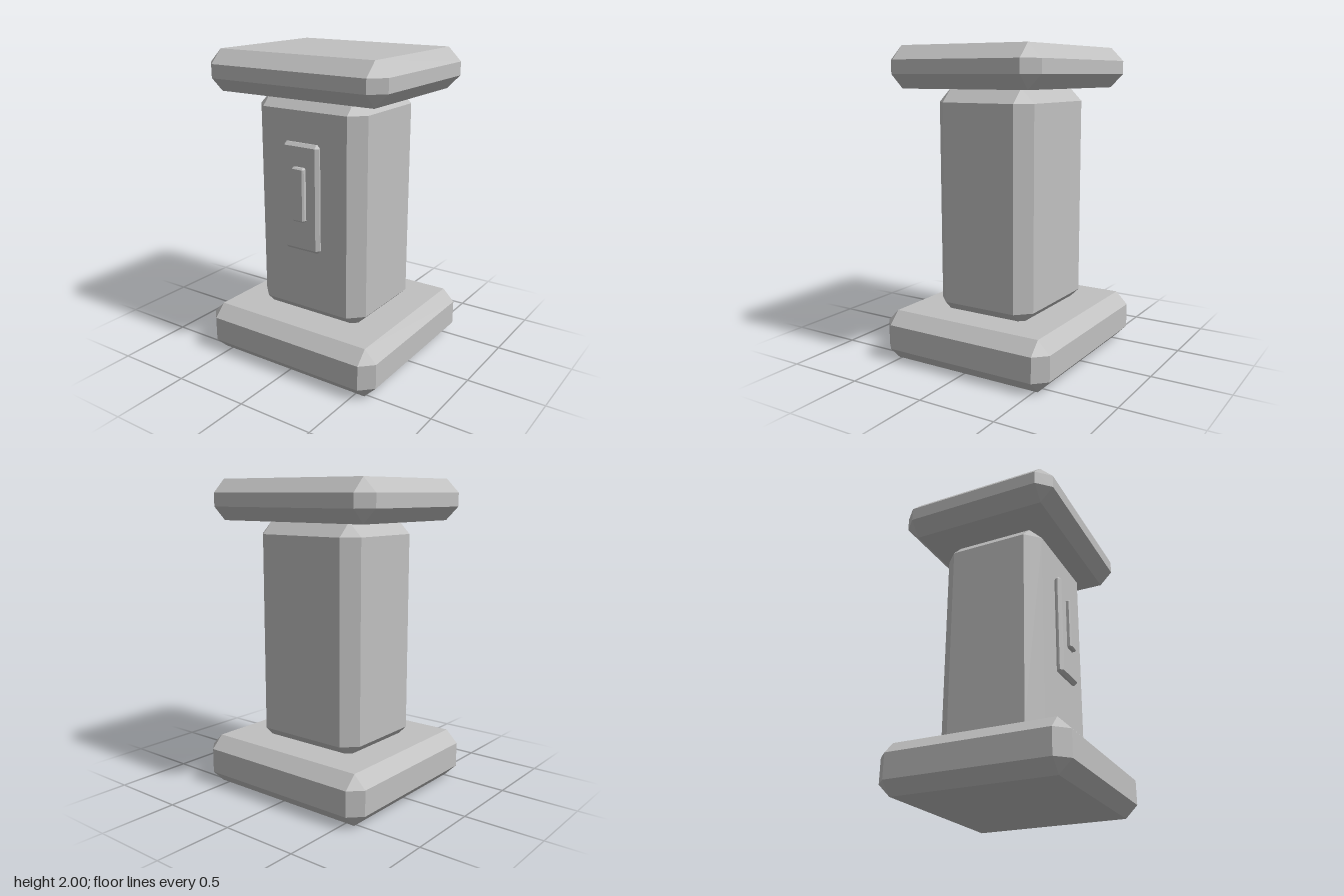
import * as THREE from 'three';
import { ConvexGeometry } from 'three/addons/geometries/ConvexGeometry.js';

const stone = new THREE.MeshStandardMaterial({ color: 0xc0c0c0 });
stone.name = 'grey stone';

// Box with every edge cut at 45 degrees and a small triangle at each corner
function chamferBox(name, [w, h, d], c, [x, y, z]) {
  const points = [];
  for (const sx of [-1, 1]) for (const sy of [-1, 1]) for (const sz of [-1, 1]) {
    const a = w / 2, b = h / 2, e = d / 2;
    points.push(
      new THREE.Vector3(sx * a, sy * (b - c), sz * (e - c)),
      new THREE.Vector3(sx * (a - c), sy * b, sz * (e - c)),
      new THREE.Vector3(sx * (a - c), sy * (b - c), sz * e),
    );
  }
  const mesh = new THREE.Mesh(new ConvexGeometry(points), stone);
  mesh.name = name;
  mesh.position.set(x, y, z);
  return mesh;
}

export function createModel() {
  const group = new THREE.Group();
  group.name = 'pedestal';
  group.add(
    // Main blocks
    chamferBox('base', [1.28, 0.32, 1.2], 0.08, [0, 0.16, 0]),
    chamferBox('shaft', [0.8, 1.46, 0.69], 0.09, [0, 1.015, 0]),
    chamferBox('cap', [1.28, 0.26, 1.06], 0.087, [0, 1.87, 0]),
    // Raised panel on the front
    chamferBox('panel', [0.264, 0.69, 0.05], 0.02, [0, 1.12, 0.367]),
    chamferBox('panelInset', [0.09, 0.345, 0.05], 0.01, [0, 1.148, 0.396]),
  );
  return group;
}
